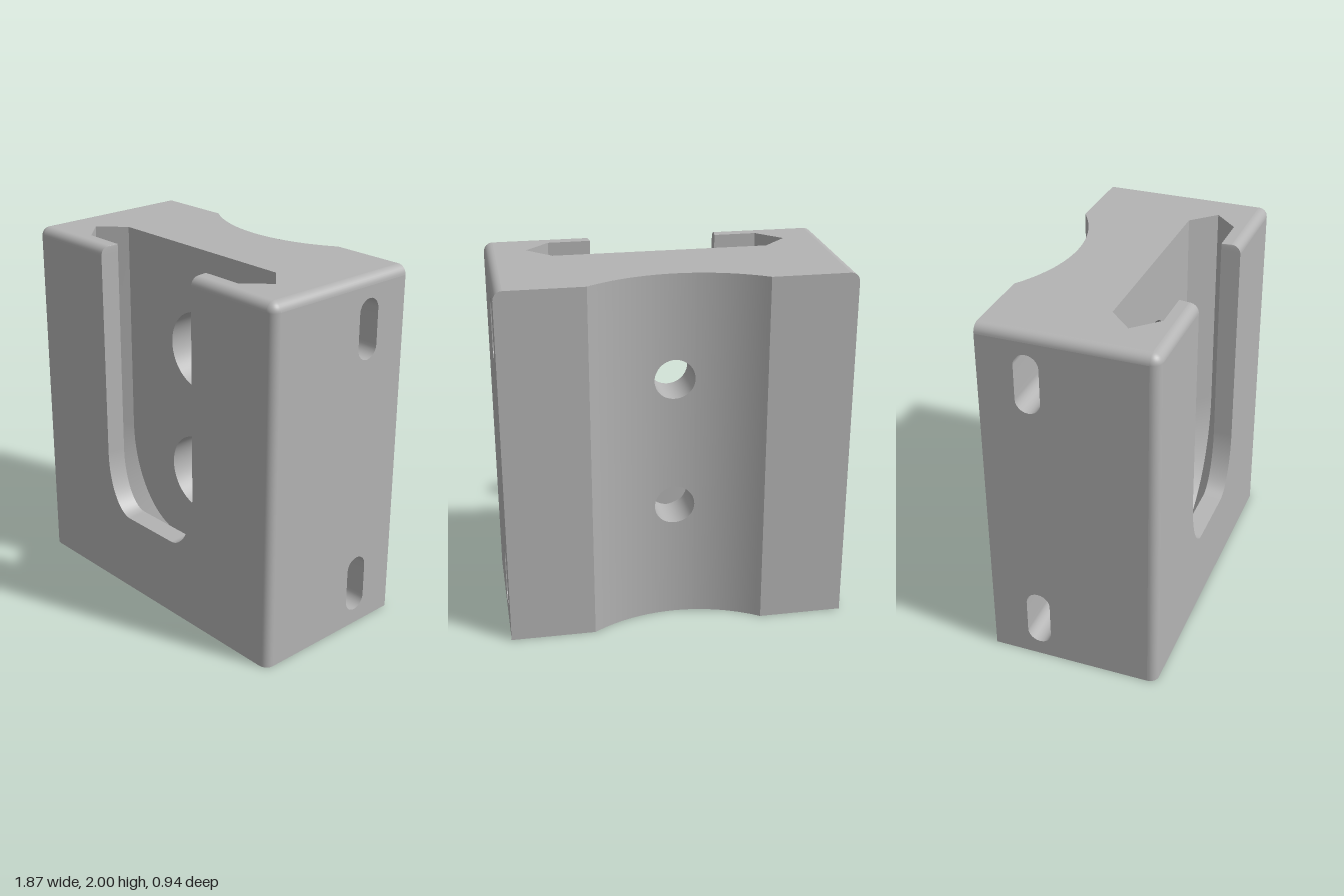
import * as THREE from 'three';

const W = 0.935, H = 2, D = 0.47, R = 0.05;   // half width, height, half depth, edge rounding
const N = 24;
const steps = (n, f) => Array.from({ length: n + 1 }, (_, i) => f(i / n));

// Strip of surface between two equally long rows of 3D points
function loft(a, b) {
  const g = new THREE.PlaneGeometry(1, 1, a.length - 1, 1);
  [...a, ...b].forEach((p, i) => g.attributes.position.setXYZ(i, ...p));
  g.computeVertexNormals();
  return g;
}

// Flat plate from 2D points, with optional holes
function plate(points, holes = []) {
  const vec = (list) => list.map(([x, y]) => new THREE.Vector2(x, y));
  const shape = new THREE.Shape(vec(points));
  holes.forEach((h) => shape.holes.push(new THREE.Path(vec(h))));
  return new THREE.ShapeGeometry(shape);
}

const circle = (cx, cy, r) => steps(48, (t) => {
  const a = t * Math.PI * 2;
  return [cx + r * Math.cos(a), cy + r * Math.sin(a)];
});

// Upright oblong outline, closed
function oblong(cx, cy, r, off) {
  const half = (start, dy) => steps(12, (t) => {
    const a = start + t * Math.PI;
    return [cx + r * Math.cos(a), cy + dy + r * Math.sin(a)];
  });
  const p = [...half(0, off), ...half(Math.PI, -off)];
  return [...p, p[0]];
}

// U outline of the pocket, grown by o, from top left round to top right
function uPath(o) {
  const left = [
    ...steps(8, (t) => [-0.355 - o, H - R + R * Math.cos(t * Math.PI / 2)]),
    ...steps(16, (t) => {
      const a = t * Math.PI / 2;
      return [-0.18 - (0.175 + o) * Math.cos(a), 0.805 - (0.35 + o) * Math.sin(a)];
    }),
  ];
  return [...left, ...left.map(([x, y]) => [-x, y]).reverse()];
}

const at = (path, z) => path.map(([x, y]) => [x, y, z]);
const open = (path) => path.slice(0, -1);

// Depth of the rounded front at height y, and of the hollow back at x
const frontZ = (y) => (y > H - R ? D - R + Math.sqrt(Math.max(0, R * R - (y - H + R) ** 2)) : D);
const AX = 0.47, AR = 0.834;
const backZ = (x) => (Math.abs(x) >= AX ? -D : -D - Math.sqrt(AR * AR - AX * AX) + Math.sqrt(AR * AR - x * x));

export function createModel() {
  const model = new THREE.Group();
  const grey = new THREE.MeshStandardMaterial({ color: 0xb4b4b4, side: THREE.DoubleSide });
  grey.name = 'grey';
  const add = (name, geometry) => {
    const mesh = new THREE.Mesh(geometry, grey);
    mesh.name = name;
    model.add(mesh);
    return mesh;
  };

  const boltY = [0.68, 1.42], boltR = 0.11, boreR = 0.22, boreZ = -0.1;
  const slots = [0.25, 1.722].map((y) => oblong(-0.205, y, 0.0675, 0.096));
  const zBack = 0.105, zMid = 0.235, zLip = 0.365;
  const quarter = steps(8, (t) => [R * Math.cos(t * Math.PI / 2), R * Math.sin(t * Math.PI / 2)]);

  // Front face with the U opening
  const e = W - R, top = H - R;
  add('frontFace', plate([
    [-e, 0], [-e, top], ...uPath(0.005).filter((p) => p[1] <= top + 1e-6), [e, top], [e, 0],
  ])).position.z = D;

  // Pocket: sloped lip, undercut walls and bored floor
  const lipIn = uPath(-0.003), cavity = uPath(0.23), cavityMid = uPath(0.36);
  add('lipEdge', loft(at(lipIn, zLip), uPath(0.005).map(([x, y]) => [x, y, frontZ(y)])));
  const lipBack = plate([...cavity, ...[...lipIn].reverse()]);
  add('lipBack', lipBack.rotateY(Math.PI)).position.z = zLip;
  add('undercutFront', loft(at(cavity, zLip), at(cavityMid, zMid)));
  add('undercutBack', loft(at(cavityMid, zMid), at(cavity, zBack)));
  add('pocketFloor', plate(cavity, boltY.map((y) => open(circle(0, y, boreR))))).position.z = zBack;

  // Counterbored bolt holes running out through the hollow back
  for (const y of boltY) {
    const bore = circle(0, y, boreR), bolt = circle(0, y, boltR);
    add('counterboreWall', loft(at(bore, zBack), at(bore, boreZ)));
    add('counterboreSeat', new THREE.RingGeometry(boltR, boreR, 48)).position.set(0, y, boreZ);
    add('boltHole', loft(at(bolt, boreZ), bolt.map(([x, v]) => [x, v, backZ(x)])));
  }

  // Hollow back: plain on both sides, split into bands around the bolt holes
  const column = (xs, lo, hi) => loft(
    xs.map((x) => [x, hi(x), backZ(x)]).reverse(), xs.map((x) => [x, lo(x), backZ(x)]).reverse());
  const half = (x) => Math.sqrt(Math.max(0, boltR * boltR - x * x));
  const holeXs = steps(N, (t) => -boltR * Math.cos(t * Math.PI));
  add('hollowLower', column(holeXs, () => 0, (x) => boltY[0] - half(x)));
  add('hollowMiddle', column(holeXs, (x) => boltY[0] + half(x), (x) => boltY[1] - half(x)));
  add('hollowUpper', column(holeXs, (x) => boltY[1] + half(x), () => H));

  for (const s of [-1, 1]) {
    add('hollowSide', column(
      steps(12, (t) => (s < 0 ? -AX + t * (AX - boltR) : boltR + t * (AX - boltR))), () => 0, () => H));

    // Flat back strip with a rounded top corner
    const strip = [[AX, 0], [W, 0], ...quarter.map(([c, d]) => [e + c, top + d]), [AX, H]];
    add('backStrip', plate(strip.map(([x, y]) => [-s * x, y])).rotateY(Math.PI)).position.z = -D;

    // Side wall with two slots
    const side = plate([[-D, 0], [D - R, 0], [D - R, top], [-D, top]], slots.map(open));
    add('sideWall', side.rotateY(-Math.PI / 2)).position.x = s * W;

    // Rounded edges and corner
    add('frontSideEdge', loft(
      quarter.map(([c, d]) => [s * (e + c), 0, D - R + d]),
      quarter.map(([c, d]) => [s * (e + c), top, D - R + d])));
    add('topSideEdge', loft(
      quarter.map(([c, d]) => [s * (e + c), top + d, -D]),
      quarter.map(([c, d]) => [s * (e + c), top + d, D - R])));
    add('topFrontEdge', loft(
      quarter.map(([c, d]) => [s * 0.36, top + d, D - R + c]),
      quarter.map(([c, d]) => [s * e, top + d, D - R + c])));
    add('topCorner', new THREE.SphereGeometry(
      R, 8, 8, s < 0 ? 0 : Math.PI / 2, Math.PI / 2, 0, Math.PI / 2)).position.set(s * e, top, D - R);
  }

  // Slot tunnels right across the block
  for (const slot of slots) {
    add('slotTunnel', loft(
      slot.map(([z, y]) => [-W, y, z]), slot.map(([z, y]) => [W, y, z])));
  }

  // Top face with the undercut profile, and bottom face
  const backArc = steps(N * 2, (t) => -AX + 2 * AX * t).map((x) => [x, -backZ(x)]);
  const notch = [[0.36, R - D], [0.352, -zLip], [0.585, -zLip], [0.715, -zMid], [0.585, -zBack]];
  const topFace = plate([
    [-e, D], ...backArc, [e, D], [e, R - D], ...notch,
    ...notch.map(([x, y]) => [-x, y]).reverse(), [-e, R - D],
  ]);
  add('topFace', topFace.rotateX(-Math.PI / 2)).position.y = H;

  const corner = quarter.map(([c, d]) => [e + c, R - D - d]);
  const bottom = plate([
    [-W, D], ...backArc, [W, D], ...corner, ...corner.map(([x, y]) => [-x, y]).reverse(),
  ].map(([x, y]) => [x, -y]));
  add('bottomFace', bottom.rotateX(Math.PI / 2));

  return model;
}
